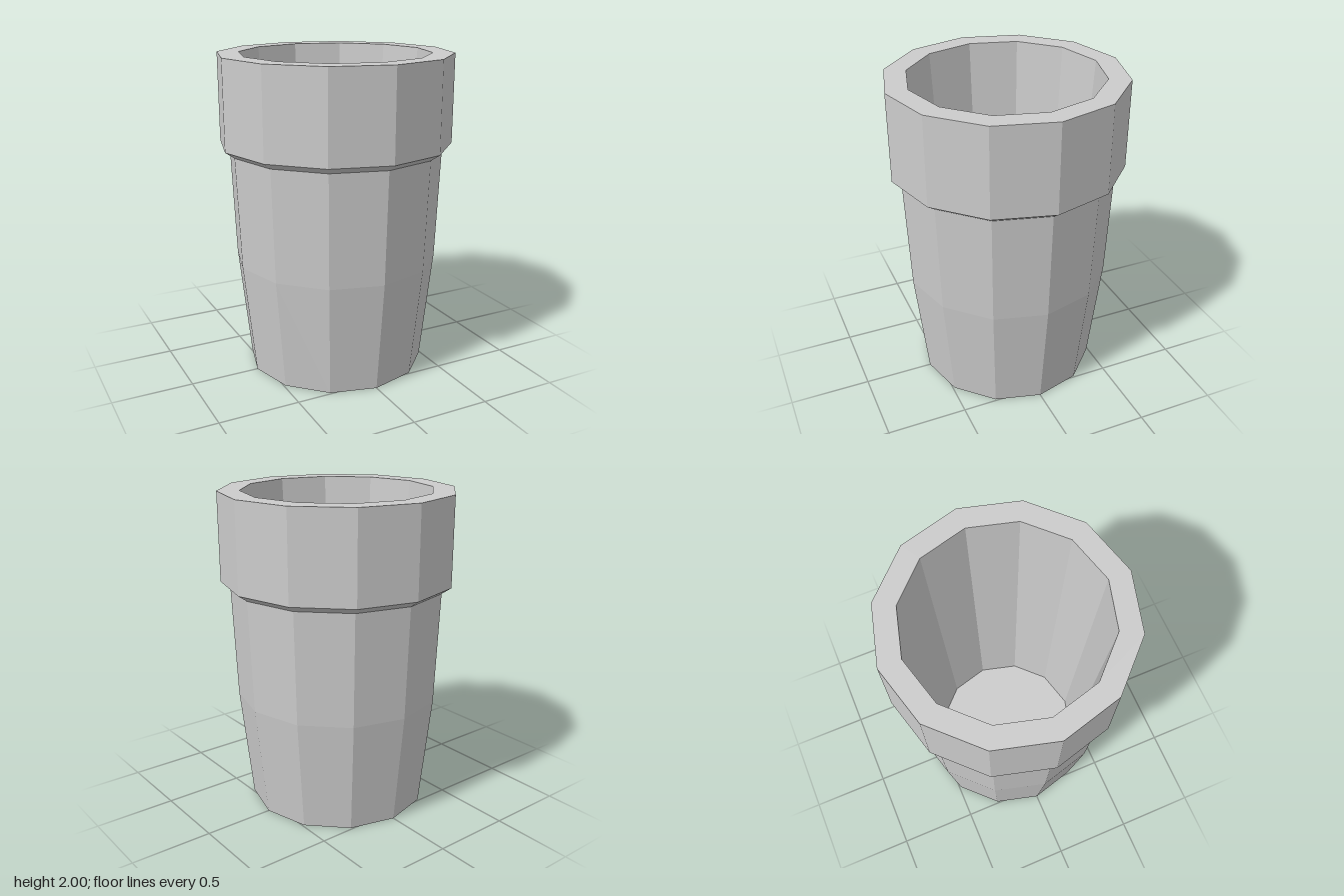
import * as THREE from 'three';

const SIDES = 12;

export function createModel() {
  const cup = new THREE.Group();
  cup.name = 'cup';

  const grey = new THREE.MeshStandardMaterial({ color: 0xcccccc });
  grey.name = 'light grey';
  grey.flatShading = true;

  // Turn a [radius, height] profile into a faceted ring
  const addTurned = (name, profile) => {
    const points = profile.map(([r, y]) => new THREE.Vector2(r, y));
    const mesh = new THREE.Mesh(new THREE.LatheGeometry(points, SIDES), grey);
    mesh.name = name;
    cup.add(mesh);
  };

  // Base and tapered outer wall
  addTurned('body', [[0, 0], [0.565, 0], [0.64, 0.71], [0.667, 1.41]]);

  // Thick collar with bevelled underside and flat rim
  addTurned('collar', [[0.667, 1.41], [0.725, 1.45], [0.725, 2], [0.59, 2]]);

  // Hollow inside, down to the floor
  addTurned('interior', [[0.59, 2], [0.475, 0.1], [0, 0.1]]);

  return cup;
}
